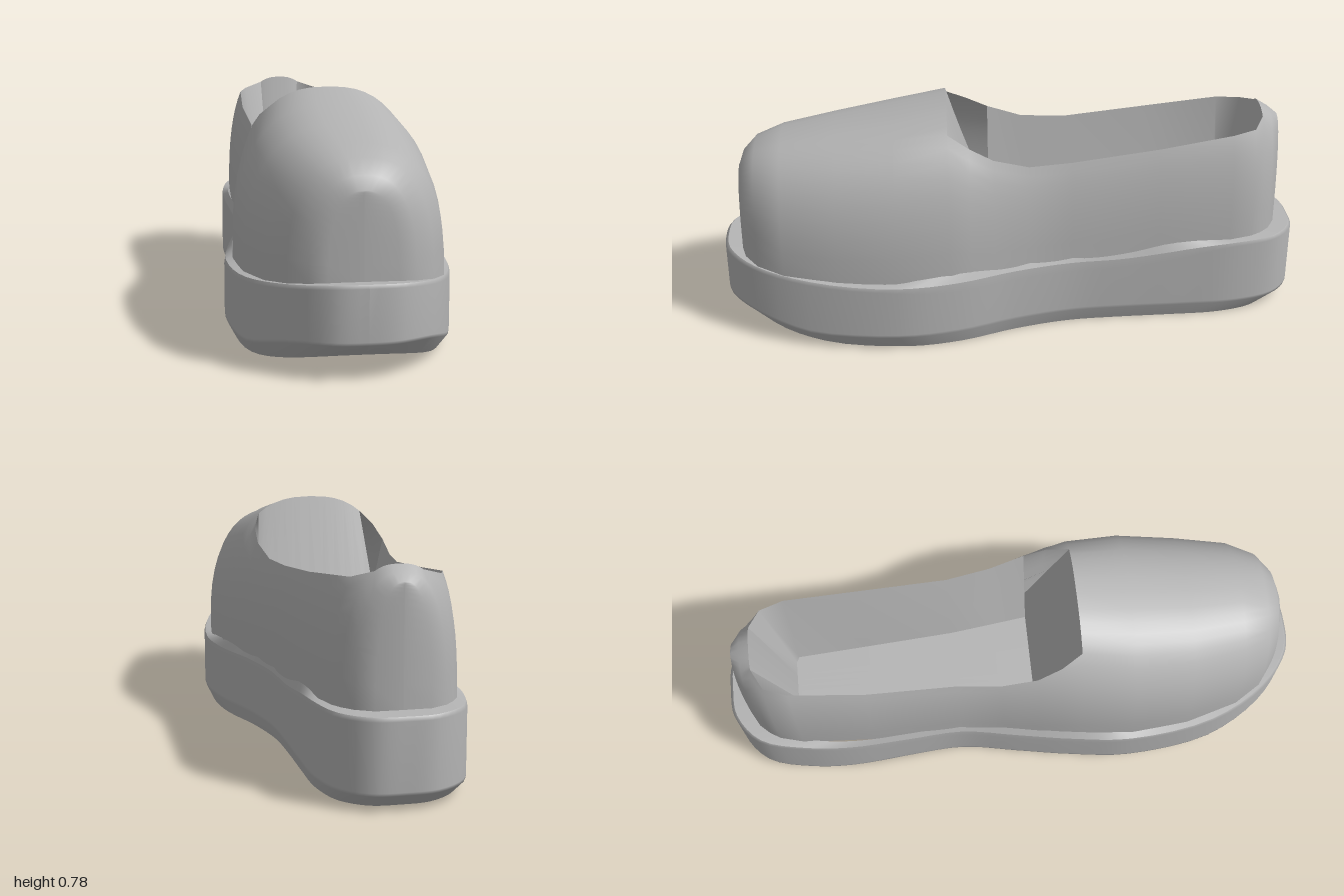
import * as THREE from 'three';

const { smoothstep } = THREE.MathUtils;

// Surface through rows of points; skip(i, j) leaves a quad open.
function gridGeometry(rows, skip = () => false) {
  const n = rows[0].length;
  const index = [];
  for (let i = 0; i < rows.length - 1; i++) {
    for (let j = 0; j < n - 1; j++) {
      if (skip(i, j)) continue;
      const a = i * n + j, b = a + 1, c = a + n, d = c + 1;
      index.push(a, c, b, b, c, d);
    }
  }
  const geo = new THREE.BufferGeometry();
  geo.setAttribute('position', new THREE.Float32BufferAttribute(rows.flat(2), 3));
  geo.setIndex(index);
  geo.computeVertexNormals();
  return geo;
}

// Height of the ledge where the upper meets the sole
const ledgeY = (z) =>
  0.24 + 0.045 * (Math.max(0, (z - 0.4) / 0.57) ** 2 + smoothstep(-z, 0.3, 0.8));
// 1 along the waist, where sole and upper flow together; 0 round toe and heel
const waist = (z) => 1 - Math.max(smoothstep(z, 0.15, 0.5), smoothstep(-z, 0.5, 0.8));

// Sole outline as x, z pairs, from the toe round by +x
const OUTLINE = [
  [0.01, 0.998], [0.12, 0.98], [0.225, 0.89], [0.31, 0.7], [0.357, 0.4], [0.33, 0.2],
  [0.262, 0], [0.217, -0.2], [0.205, -0.4], [0.2, -0.6], [0.19, -0.78], [0.145, -0.92],
  [0.06, -0.99], [-0.04, -1], [-0.14, -0.99], [-0.24, -0.91], [-0.285, -0.75],
  [-0.295, -0.6], [-0.28, -0.4], [-0.27, -0.2], [-0.305, 0], [-0.34, 0.2],
  [-0.36, 0.4], [-0.32, 0.7], [-0.22, 0.89], [-0.1, 0.985],
];

// Upper: z, right x, left x, crown height, rim height (along the opening)
const STATIONS = [
  [0.93, -0.1, 0.11, 0.55],
  [0.915, -0.155, 0.165, 0.592],
  [0.87, -0.215, 0.225, 0.637],
  [0.78, -0.27, 0.275, 0.668],
  [0.6, -0.318, 0.312, 0.7],
  [0.4, -0.335, 0.335, 0.74],
  [0.22, -0.322, 0.318, 0.778, 0.72],
  [0.15, -0.312, 0.3, 0.78, 0.68],
  [0.07, -0.3, 0.275, 0.775, 0.637],
  [-0.05, -0.277, 0.237, 0.765, 0.6],
  [-0.2, -0.257, 0.207, 0.765, 0.6],
  [-0.5, -0.267, 0.188, 0.785, 0.63],
  [-0.75, -0.26, 0.172, 0.79, 0.663],
  [-0.83, -0.238, 0.148, 0.765, 0.67],
  [-0.865, -0.217, 0.127, 0.71, 0.69],
  [-0.9, -0.185, 0.095, 0.69],
  [-0.93, -0.13, 0.04, 0.667],
];
const LIP = 7, TONGUE = 9, HEEL = 15;  // rows bounding the opening, counting the end cap row
const SIDE = 8, TOP = 10;              // segments per side wall and across the crown
const POWER = 2.55;                    // roundness of the domed cross-section
const FLOOR_Y = 0.28;

// One domed cross-section, running from +x over the crown to -x
function section([z, x0, x1, crown, rim]) {
  const c = (x0 + x1) / 2, w = (x1 - x0) / 2;
  const base = ledgeY(z), h = crown - base;
  const rel = rim ? (rim - base) / h : 0.88;
  const rimAngle = Math.asin(Math.pow(rel, POWER / 2));
  const points = [];
  for (let j = 0; j <= 2 * SIDE + TOP; j++) {
    let t;
    if (j <= SIDE) t = rimAngle * j / SIDE;
    else if (j <= SIDE + TOP) t = rimAngle + (Math.PI - 2 * rimAngle) * (j - SIDE) / TOP;
    else t = Math.PI - rimAngle * (2 * SIDE + TOP - j) / SIDE;
    const co = Math.cos(t), si = Math.max(0, Math.sin(t));
    points.push([
      c + w * Math.sign(co) * Math.pow(Math.abs(co), 2 / POWER),
      base + h * Math.pow(si, 2 / POWER),
      z,
    ]);
  }
  return points;
}

// Flat end closing the toe or the heel
function endRow(row, dz) {
  const c = (row[0][0] + row[row.length - 1][0]) / 2;
  return row.map(([, y, z]) => [c, y, z + dz]);
}

// Straight row of points between two corners
const straight = (a, b) => Array.from({ length: TOP + 1 }, (_, k) =>
  a.map((v, axis) => v + (b[axis] - v) * k / TOP));

export function createModel() {
  const group = new THREE.Group();
  const grey = new THREE.MeshStandardMaterial({ color: 0xb3b3b3, side: THREE.DoubleSide });
  grey.name = 'grey';
  const add = (name, geo) => {
    const mesh = new THREE.Mesh(geo, grey);
    mesh.name = name;
    group.add(mesh);
  };

  // Sole: bands between rings, open underneath
  const curve = new THREE.CatmullRomCurve3(OUTLINE.map(([x, z]) => new THREE.Vector3(x, 0, z)), true);
  const outline = curve.getPoints(104);
  const ring = (inset, height) => outline.map((p) => {
    const c = -0.045 * smoothstep(-p.z, -0.3, 0.6);
    const k = 1 - inset(p.z);
    return [c + (p.x - c) * k, height(p.z * k), p.z * k];
  });
  const beltY = (z) => 0.05 + 0.06 * smoothstep(z, 0.65, 0.99);
  // The ledge is wide round toe and heel and a soft slope along the waist
  const inner = ring((z) => 0.085 - 0.02 * waist(z), (z) => ledgeY(z) + 0.005 + 0.025 * waist(z));
  const shoulder = ring(() => 0.01, ledgeY);
  const top = ring(() => 0, (z) => ledgeY(z) - 0.012 - 0.02 * waist(z));
  const lower = ring(() => 0, (z) => beltY(z) + 0.01);
  const belt = ring(() => 0.002, beltY);
  const bottom = ring(() => 0.07, (z) => 0.065 * Math.max(0, (z - 0.55) / 0.38) ** 2);
  add('soleLedge', gridGeometry([inner, shoulder]));
  add('soleWall', gridGeometry([shoulder, top, lower, belt, bottom]));

  // Upper: domed toe, side walls and heel with the foot opening left out
  const rows = STATIONS.map(section);
  rows.unshift(endRow(rows[0], 0.002));
  rows.push(endRow(rows[rows.length - 1], -0.002));
  add('upper', gridGeometry(rows, (i, j) =>
    i >= LIP && i < HEEL && j >= SIDE && j < SIDE + TOP));

  // Lining: from the rim down to a narrower footbed
  const floorLine = (row) => {
    const [a, , z] = row[SIDE], b = row[SIDE + TOP][0];
    const c = (a + b) / 2 - 0.005, w = (a - b) / 2 * 0.64;
    const zf = Math.max(z, -0.76);
    return straight([c + w, FLOOR_Y, zf], [c - w, FLOOR_Y, zf]);
  };
  const opening = rows.slice(TONGUE, HEEL + 1);
  add('leftLining', gridGeometry(opening.map((row) => [row[SIDE], floorLine(row)[0]])));
  add('rightLining', gridGeometry(opening.map((row) => [floorLine(row)[TOP], row[SIDE + TOP]])));
  add('footbed', gridGeometry(opening.map(floorLine)));

  // Steep panel from the lip down to the front of the footbed
  const crownArc = (row) => row.slice(SIDE, SIDE + TOP + 1);
  const [left, right] = [rows[TONGUE][SIDE], rows[TONGUE][SIDE + TOP]];
  const panelFoot = straight([left[0], FLOOR_Y, left[2]], [right[0], FLOOR_Y, right[2]]);
  add('frontPanel', gridGeometry([crownArc(rows[LIP]), panelFoot]));
  add('heelLining', gridGeometry([floorLine(rows[HEEL]), crownArc(rows[HEEL])]));

  return group;
}
